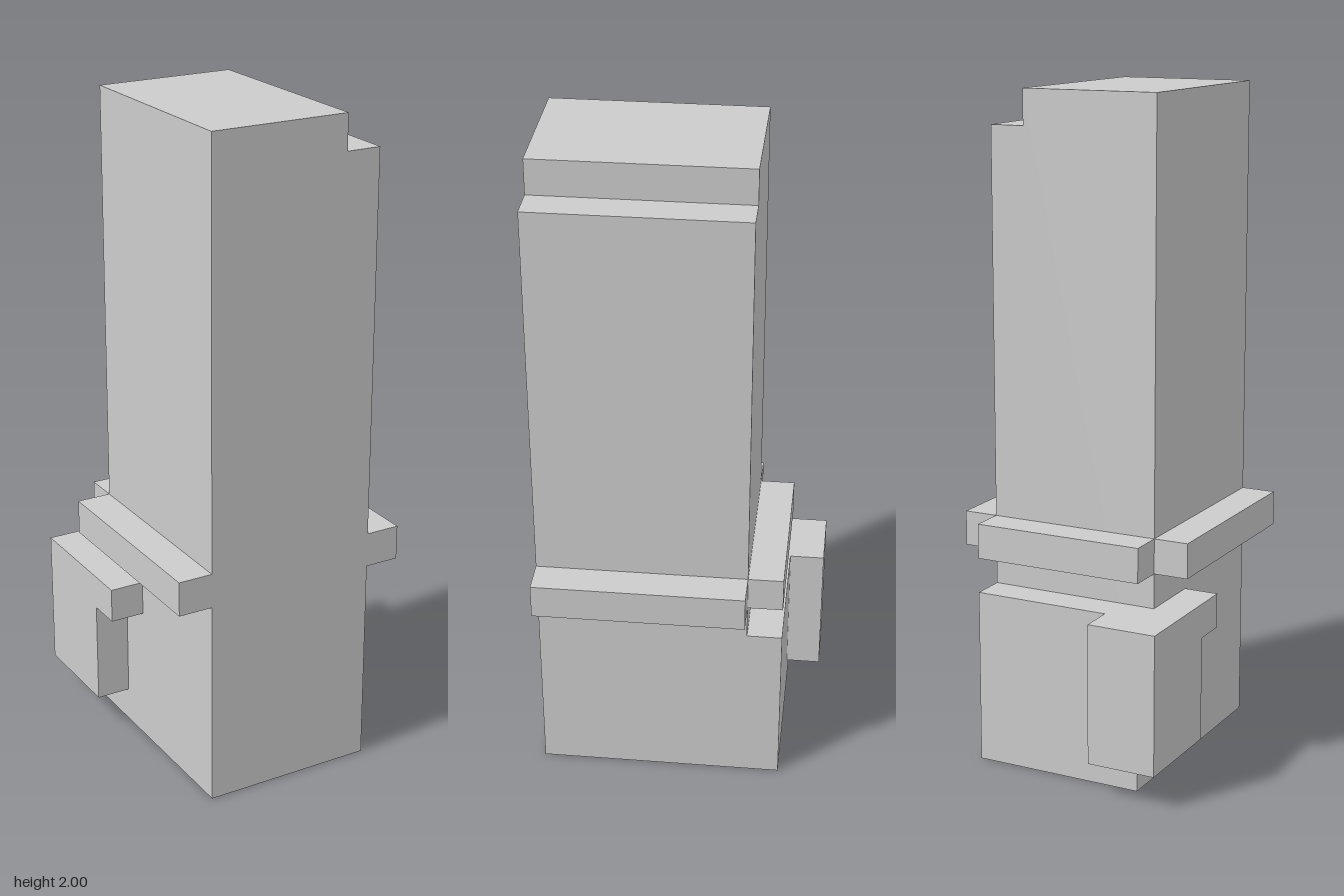
import * as THREE from 'three';

const U = 2 / 19; // one block unit: the model is 19 units tall

export function createModel() {
  const group = new THREE.Group();
  const material = new THREE.MeshStandardMaterial({ color: 0xcccccc, flatShading: true });

  const add = (name, geometry) => {
    const mesh = new THREE.Mesh(geometry, material);
    mesh.name = name;
    group.add(mesh);
  };

  // Box given by its low and high corners in block units
  const block = (name, [x0, y0, z0], [x1, y1, z1]) => {
    const g = new THREE.BoxGeometry((x1 - x0) * U, (y1 - y0) * U, (z1 - z0) * U);
    g.translate((x0 + x1) / 2 * U, (y0 + y1) / 2 * U, (z0 + z1) / 2 * U);
    add(name, g);
  };

  // Tower with one stepped top edge
  const profile = [[-2.5, 0], [2.5, 0], [2.5, 18], [1.5, 18], [1.5, 19], [-2.5, 19]];
  const shape = new THREE.Shape(profile.map(([x, y]) => new THREE.Vector2(x * U, y * U)));
  const tower = new THREE.ExtrudeGeometry(shape, { depth: 6 * U, bevelEnabled: false });
  tower.translate(0, 0, -2 * U);
  add('tower', tower);

  // Thicker base at the back
  block('backBase', [-2.5, 0, -3], [2.5, 5, -2]);

  // Ledges on both sides and the back, with open corners
  block('leftLedge', [2.5, 6, -2], [3.5, 7, 4]);
  block('rightLedge', [-3.5, 6, -2], [-2.5, 7, 4]);
  block('backLedge', [-2.5, 6, -3], [2.5, 7, -2]);

  // Corner buttress wrapping the back right edge, longer in its top course
  block('buttressBack', [-2.5, 1, -4], [-1.5, 5, -3]);
  block('buttressSide', [-3.5, 1, -4], [-2.5, 4, -1]);
  block('buttressCap', [-3.5, 4, -4], [-2.5, 5, 0]);

  return group;
}
